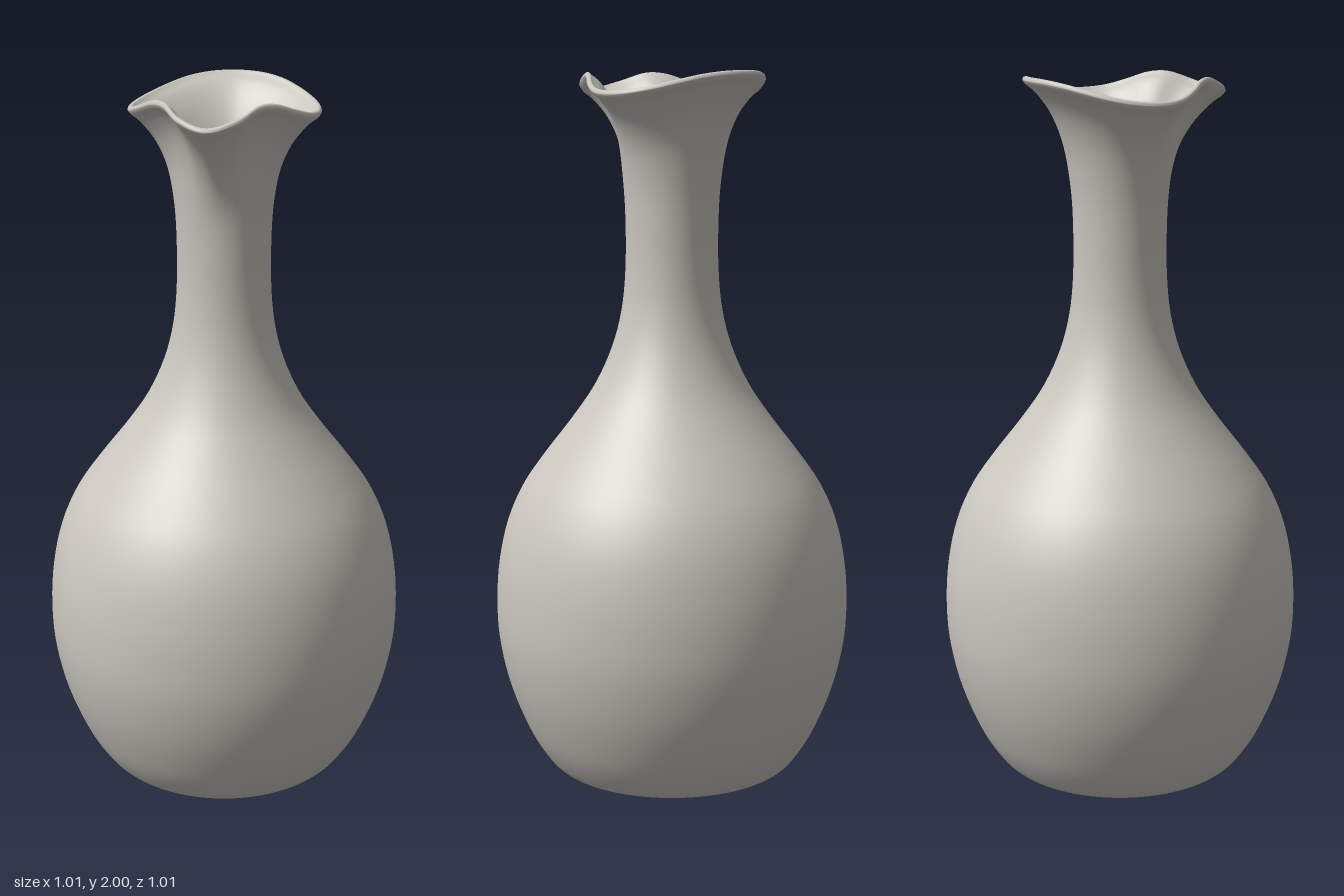
import * as THREE from 'three';
import { mergeVertices } from 'three/addons/utils/BufferGeometryUtils.js';

const RIM_R = 0.26, RIM_Y = 1.955;

// Smooth closed curve through values given every 15 degrees from front to back, mirrored left/right
function aroundRim(values) {
  const all = [...values, ...values.slice(1, -1).reverse()];
  const pts = all.map((v, i) => new THREE.Vector3(i, v, 0));
  const curve = new THREE.CatmullRomCurve3(pts, true, 'catmullrom', 0.5);
  return (angle) => {
    const t = angle / (Math.PI * 2);
    return curve.getPoint(((t % 1) + 1) % 1).y;
  };
}

const spline = (pairs, n) =>
  new THREE.SplineCurve(pairs.map(([x, y]) => new THREE.Vector2(x, y))).getPoints(n);

export function createModel() {
  const group = new THREE.Group();
  group.name = 'carafe';
  const ceramic = new THREE.MeshStandardMaterial({ color: 0xc9c5be });
  ceramic.name = 'warm grey ceramic';

  // Underside with a shallow recess, belly, neck and flare
  const outer = [
    [0, 0.015], [0.15, 0.015], [0.25, 0.012], [0.29, 0.002], [0.315, 0], [0.345, 0.012], [0.375, 0.045],
    [0.42, 0.12], [0.47, 0.245], [0.499, 0.37], [0.507, 0.48], [0.5, 0.6],
    [0.475, 0.72], [0.43, 0.825], [0.365, 0.92], [0.288, 1.02], [0.22, 1.12],
    [0.17, 1.23], [0.142, 1.34], [0.131, 1.46], [0.131, 1.6], [0.138, 1.7],
    [0.155, 1.79], [0.185, 1.86], [0.225, 1.912], [0.252, 1.934], [0.26, 1.945],
  ];
  // Rounded lip, then the inner wall down to the floor
  const inner = [
    [0.26, 1.945], [0.257, 1.953], [0.248, 1.955], [0.238, 1.947], [0.21, 1.925],
    [0.17, 1.872], [0.136, 1.8], [0.115, 1.7], [0.106, 1.6], [0.105, 1.46],
    [0.116, 1.34], [0.146, 1.22], [0.2, 1.105], [0.27, 1.0], [0.345, 0.905],
    [0.41, 0.81], [0.452, 0.71], [0.476, 0.6], [0.482, 0.48], [0.474, 0.37],
    [0.446, 0.25], [0.395, 0.13], [0.35, 0.06], [0.29, 0.04], [0, 0.04],
  ];
  const profile = [...spline(outer, 110), ...spline(inner, 100).slice(1)];
  profile.forEach((p) => { p.x = Math.max(p.x, 0); p.y = Math.max(p.y, 0); });
  const geometry = new THREE.LatheGeometry(profile, 128);

  // Pinch the flared mouth into a pouring spout with a wavy rim
  const rimRadius = aroundRim([0.315, 0.293, 0.252, 0.238, 0.244, 0.256, 0.262,
    0.263, 0.26, 0.258, 0.262, 0.268, 0.272]);
  const rimHeight = aroundRim([1.95, 1.968, 1.993, 1.99, 1.97, 1.952, 1.946,
    1.95, 1.961, 1.976, 1.99, 1.998, 2.0]);
  const pos = geometry.attributes.position;
  for (let i = 0; i < pos.count; i++) {
    const x = pos.getX(i), y = pos.getY(i), z = pos.getZ(i);
    const w = THREE.MathUtils.smoothstep(y, 1.65, 1.95);
    if (w === 0) continue;
    const angle = Math.atan2(x, z);
    const k = 1 + w * (rimRadius(angle) / RIM_R - 1);
    pos.setXYZ(i, x * k, y + w * (rimHeight(angle) - RIM_Y), z * k);
  }

  // Weld the seam so the shading is continuous
  geometry.deleteAttribute('uv');
  geometry.deleteAttribute('normal');
  const welded = mergeVertices(geometry, 1e-5);
  welded.computeVertexNormals();

  const body = new THREE.Mesh(welded, ceramic);
  body.name = 'carafeBody';
  group.add(body);
  return group;
}
